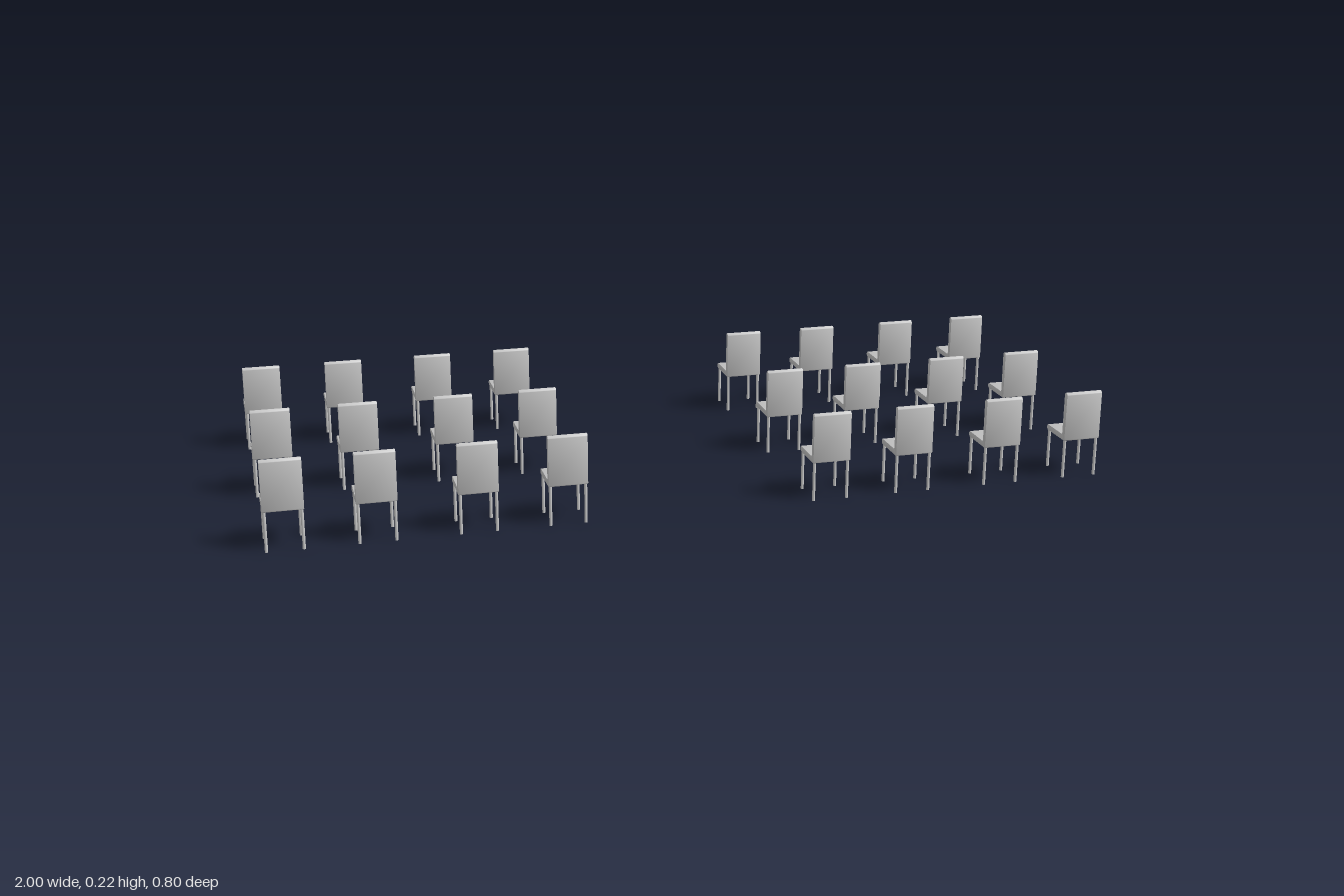
import * as THREE from 'three';
import { toCreasedNormals } from 'three/addons/utils/BufferGeometryUtils.js';

const WIDTH = 0.092, HALF_DEPTH = 0.048;
const SEAT_BOTTOM = 0.0945, THICK = 0.0142, TOP = 0.215;
const COLUMNS = [-0.954, -0.75, -0.523, -0.318, 0.312, 0.518, 0.744, 0.954 - 0.003];
const ROWS = [0.354, 0.001, -0.353];

// L-shaped side profile (x = depth, y = height) with rounded ends
function shellGeometry() {
  const r = THICK / 2, fillet = 0.005, corner = 0.003;
  const back = HALF_DEPTH, inner = back - THICK;
  const seatTop = SEAT_BOTTOM + THICK;
  const s = new THREE.Shape();
  s.moveTo(-HALF_DEPTH + r, SEAT_BOTTOM);
  s.lineTo(back - corner, SEAT_BOTTOM);
  s.quadraticCurveTo(back, SEAT_BOTTOM, back, SEAT_BOTTOM + corner);
  s.lineTo(back, TOP - r);
  s.absarc(back - r, TOP - r, r, 0, Math.PI, false);
  s.lineTo(inner, seatTop + fillet);
  s.quadraticCurveTo(inner, seatTop, inner - fillet, seatTop);
  s.lineTo(-HALF_DEPTH + r, seatTop);
  s.absarc(-HALF_DEPTH + r, seatTop - r, r, Math.PI / 2, Math.PI * 1.5, false);

  const bevel = 0.0015;
  const g = new THREE.ExtrudeGeometry(s, {
    depth: WIDTH - 2 * bevel, curveSegments: 8,
    bevelSize: bevel, bevelThickness: bevel, bevelOffset: -bevel, bevelSegments: 2,
  });
  g.translate(0, 0, -WIDTH / 2 + bevel);
  g.rotateY(-Math.PI / 2);
  return toCreasedNormals(g, 0.6);
}

export function createModel() {
  const material = new THREE.MeshStandardMaterial({ color: 0xcccccc });
  const shell = shellGeometry();
  const legHeight = SEAT_BOTTOM + 0.003;
  const leg = new THREE.CylinderGeometry(0.0036, 0.0036, legHeight, 12);
  leg.translate(0, legHeight / 2, 0);

  function createChair() {
    const chair = new THREE.Group();
    const seat = new THREE.Mesh(shell, material);
    seat.name = 'seatAndBackrest';
    chair.add(seat);
    // Four slim legs near the corners
    for (const sx of [-1, 1]) {
      for (const sz of [-1, 1]) {
        const mesh = new THREE.Mesh(leg, material);
        mesh.name = (sx > 0 ? 'left' : 'right') + (sz > 0 ? 'BackrestLeg' : 'SeatEdgeLeg');
        mesh.position.set(sx * 0.041, 0, sz * 0.0415);
        chair.add(mesh);
      }
    }
    return chair;
  }

  // Two blocks of four columns, three rows deep
  const model = new THREE.Group();
  model.name = 'chairRows';
  ROWS.forEach((z, row) => COLUMNS.forEach((x, col) => {
    const chair = createChair();
    chair.name = `chairRow${row + 1}Column${col + 1}`;
    chair.position.set(x, 0, z);
    model.add(chair);
  }));
  return model;
}
